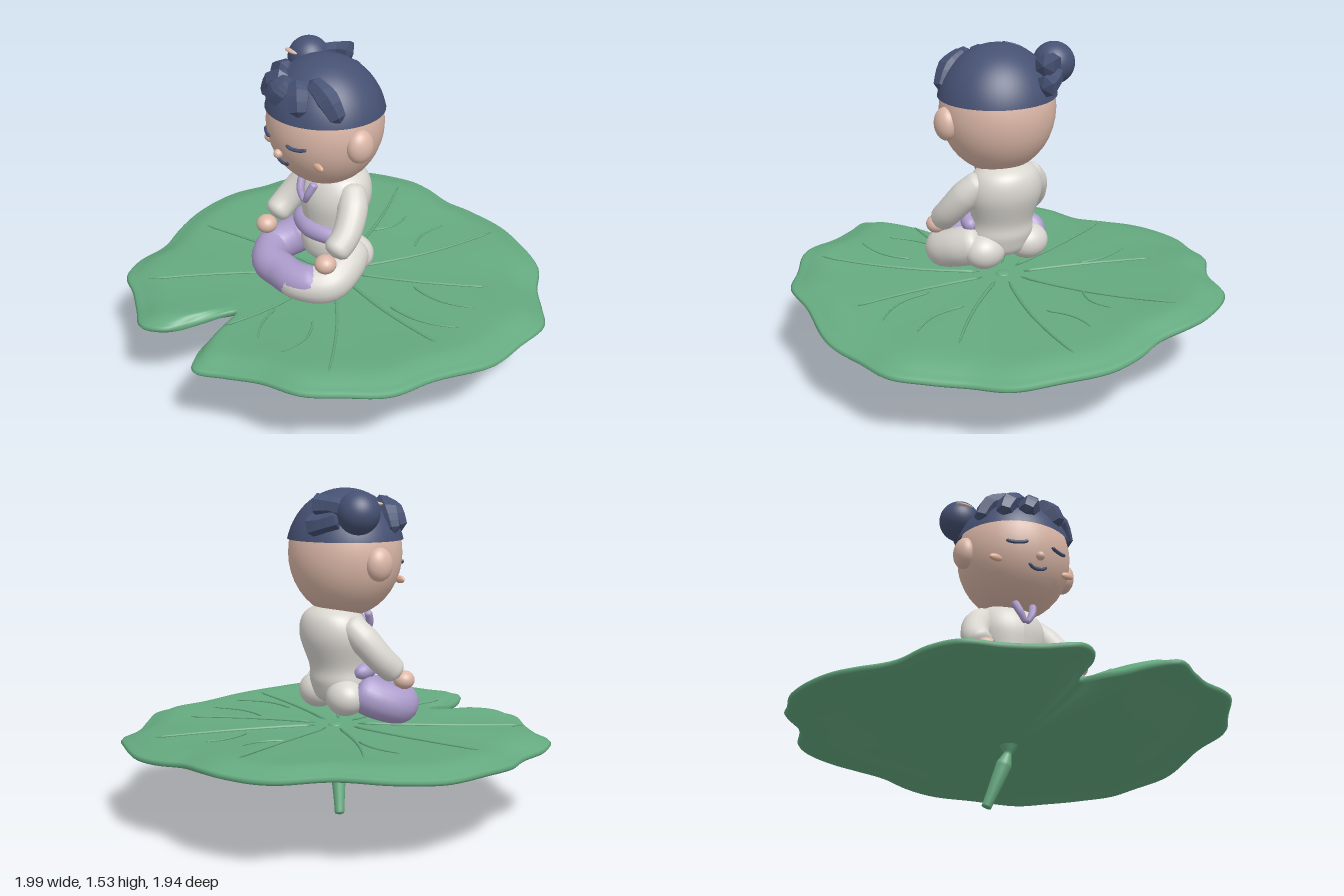
import * as THREE from 'three';
import { mergeVertices } from 'three/addons/utils/BufferGeometryUtils.js';

const mat = (name, color) => Object.assign(new THREE.MeshStandardMaterial({ color }), { name });
const V = (p) => new THREE.Vector3(...p);
const smooth = THREE.MathUtils.smoothstep;

export function createModel() {
  const model = new THREE.Group();
  model.name = 'childOnLeaf';
  const green = mat('leafGreen', 0x65aa80), skin = mat('skin', 0xdcb8a8), blush = mat('blush', 0xdfb096);
  const navy = mat('hairNavy', 0x465173), robe = mat('robeWhite', 0xdad7d1), purple = mat('purple', 0xad9dcd);
  const figure = new THREE.Group();
  figure.name = 'figure';
  figure.position.x = 0.012;

  const add = (parent, name, geometry, material) => {
    const m = new THREE.Mesh(geometry, material);
    m.name = name;
    parent.add(m);
    return m;
  };
  const ball = (name, [x, y, z], [a, b, c], material, parent = figure) => {
    const m = add(parent, name, new THREE.SphereGeometry(1, 32, 20), material);
    m.position.set(x, y, z);
    m.scale.set(a, b, c);
    return m;
  };
  // Limb: tube with a radius that varies along its path and closed ends
  const limb = (points, radii, { sides = 18, n = 30, cap = 0.12, flat = false } = {}) => {
    const curve = new THREE.CatmullRomCurve3(points.map(V));
    let g = new THREE.TubeGeometry(curve, n, 1, sides);
    const pos = g.attributes.position, v = new THREE.Vector3();
    for (let i = 0; i <= n; i++) {
      const u = i / n, f = u * (radii.length - 1), k = Math.min(Math.floor(f), radii.length - 2);
      const e = Math.min(1, Math.min(u, 1 - u) / cap);
      const r = THREE.MathUtils.lerp(radii[k], radii[k + 1], f - k) * Math.sqrt(1 - (1 - e) ** 2);
      const c = curve.getPointAt(u);
      for (let j = 0; j <= sides; j++) {
        const id = i * (sides + 1) + j;
        v.fromBufferAttribute(pos, id).sub(c).multiplyScalar(r).add(c);
        pos.setXYZ(id, v.x, v.y, v.z);
      }
    }
    g.deleteAttribute('uv');
    g.deleteAttribute('normal');
    g = flat ? g.toNonIndexed() : mergeVertices(g, 1e-5);
    g.computeVertexNormals();
    return g;
  };

  // Leaf: wavy notched outline, nearly flat on top and bowl-shaped below
  const leafTop = (x, z) => {
    const r = Math.hypot(x, z), a = Math.atan2(z, x);
    return 0.42 + r * r * (0.022 + 0.035 * Math.sin(2 * a)) + 0.007 * r ** 3 * Math.sin(9 * a);
  };
  const outline = [
    [0.04, 0.59], [-0.03, 0.75], [-0.085, 0.9], [-0.18, 0.96], [-0.33, 0.9], [-0.475, 0.84], [-0.62, 0.795],
    [-0.715, 0.68], [-0.77, 0.51], [-0.875, 0.35], [-0.945, 0.19], [-0.995, -0.07], [-0.955, -0.24],
    [-0.92, -0.375], [-0.795, -0.535], [-0.715, -0.75], [-0.5, -0.88], [-0.37, -0.905], [-0.21, -0.91],
    [-0.075, -0.955], [0.11, -0.98], [0.3, -0.945], [0.51, -0.87], [0.645, -0.73], [0.78, -0.625],
    [0.905, -0.51], [0.95, -0.32], [0.995, -0.11], [0.955, 0.19], [0.94, 0.4], [0.835, 0.56], [0.725, 0.72],
    [0.54, 0.8], [0.405, 0.89], [0.29, 0.965], [0.2, 0.9], [0.11, 0.75]];
  const edge = new THREE.CatmullRomCurve3(outline.map(([x, z]) => V([x, 0, z])), true);
  const N = outline.length * 6;
  const rings = [0.01, 0.1, 0.2, 0.3, 0.4, 0.5, 0.6, 0.7, 0.78, 0.85, 0.9, 0.94, 0.97, 0.99];
  const rows = [...rings.map((s) => [s, 0]), [1, 0.5], ...rings.map((s) => [s, 1]).reverse()];
  const verts = [], faces = [];
  rows.forEach(([s, under], i) => {
    for (let j = 0; j < N; j++) {
      const p = edge.getPoint(j / N).multiplyScalar(s), r = p.length();
      const lip = 0.042 * smooth(s, 0.86, 1) * smooth(r, 0.55, 0.85);
      const thick = 0.022 + 0.095 * (1 - s * s);
      verts.push(p.x, leafTop(p.x, p.z) - lip - under * thick, p.z);
      if (i === 0) continue;
      const k = (j + 1) % N, a = (i - 1) * N + j, b = i * N + j, c = i * N + k, d = (i - 1) * N + k;
      faces.push(a, c, b, a, d, c);
    }
  });
  const leaf = new THREE.BufferGeometry();
  leaf.setAttribute('position', new THREE.Float32BufferAttribute(verts, 3));
  leaf.setIndex(faces);
  leaf.computeVertexNormals();
  add(model, 'leaf', leaf, green);
  ball('leafHub', [0.015, 0.42, 0.01], [0.035, 0.01, 0.035], green, model);

  // Veins: start x, z, end x, z, sideways bend, radius
  const vein = (x0, z0, x1, z1, bend, r) => {
    const pts = [0, 0.25, 0.5, 0.75, 1].map((t) => {
      const w = bend * Math.sin(Math.PI * t);
      const x = x0 + (x1 - x0) * t - (z1 - z0) * w, z = z0 + (z1 - z0) * t + (x1 - x0) * w;
      return [x, leafTop(x, z) + 0.003, z];
    });
    add(model, 'leafVein', limb(pts, [r, r * 0.6], { sides: 6, n: 16, cap: 0.03 }), green);
  };
  [[-0.43, -0.75, 0.03], [0.2, -0.845, 0.04], [0.555, -0.49, 0.03], [0.785, 0.03, 0.03], [0.71, 0.56, -0.03],
    [0.12, 0.705, -0.05], [-0.465, 0.765, 0.03], [-0.74, 0.27, 0.02], [-0.66, -0.28, -0.04]]
    .forEach(([x, z, b]) => {
      const k = 0.1 / Math.hypot(x, z);
      vein(0.02 + x * k, 0.015 + z * k, x, z, b, 0.009);
    });
  [[-0.18, -0.37, -0.18, -0.6, 0.15], [0.07, -0.44, 0, -0.69, -0.12], [-0.35, -0.1, -0.64, -0.08, 0.1],
    [0.35, -0.2, 0.66, -0.31, 0.12], [0.42, 0, 0.74, -0.14, 0.12], [0.13, 0.43, 0.3, 0.64, 0.08],
    [0.32, 0.36, 0.46, 0.63, -0.14]].forEach(([a, b, c, d, e]) => vein(a, b, c, d, e, 0.006));

  add(model, 'stem', limb([[0.01, 0.32, 0.015], [0.005, 0.27, 0.015], [-0.015, 0.2, 0.005], [-0.05, 0.1, -0.012],
    [-0.082, 0.008, -0.03]], [0.052, 0.018, 0.036, 0.033, 0.029, 0.025, 0.022], { cap: 0.02, n: 50 }), green);

  // Torso, narrow at the waist and leaning slightly back, with two seat lobes
  const profile = new THREE.SplineCurve([[0, 0.52], [0.12, 0.55], [0.155, 0.63], [0.15, 0.71], [0.182, 0.84],
    [0.165, 0.93], [0.11, 0.98], [0, 1.01]].map((p) => new THREE.Vector2(...p))).getPoints(36);
  profile.forEach((p) => { p.x = Math.max(0, p.x); });
  const torsoShape = new THREE.LatheGeometry(profile, 40);
  const tp = torsoShape.attributes.position;
  for (let i = 0; i < tp.count; i++) tp.setZ(i, tp.getZ(i) * 0.86 + 0.035 - 0.13 * Math.max(0, tp.getY(i) - 0.6));
  torsoShape.computeVertexNormals();
  add(figure, 'torso', torsoShape, robe);

  // Crossed legs, the purple one wrapping across the front
  const leg = [[0.11, 0.615, -0.01], [0.19, 0.57, 0.1], [0.213, 0.53, 0.21], [0.115, 0.525, 0.3], [0, 0.525, 0.305]];
  const flip = (pts) => pts.map(([x, y, z]) => [-x, y, z]);
  add(figure, 'leftLeg', limb(leg, [0.095, 0.094, 0.088, 0.084, 0.075]), robe);
  add(figure, 'rightLeg', limb([[-0.13, 0.615, 0.03], ...flip(leg).slice(1), [0.09, 0.528, 0.304],
    [0.165, 0.537, 0.274], [0.208, 0.555, 0.225]],
  [0.09, 0.092, 0.088, 0.085, 0.085, 0.085, 0.083, 0.075], { n: 44, cap: 0.08 }), purple);

  // Sash and collar
  const sash = [[-0.17, 0.69, 0.01], [-0.135, 0.7, 0.1], [0, 0.705, 0.145], [0.135, 0.7, 0.1], [0.17, 0.69, 0.01]];
  add(figure, 'sash', limb(sash, [0.035, 0.047, 0.035]), purple);

  // Mirrored parts
  const faceZ = (x, y) => 0.06 + 0.264 * Math.sqrt(Math.max(0, 1 - (x / 0.272) ** 2 - ((y - 1.235) / 0.297) ** 2));
  const onFace = (pts, off = 0) => pts.map(([x, y]) => [x, y, faceZ(x, y) + off]);
  for (const s of [-1, 1]) {
    const side = s > 0 ? 'left' : 'right';
    ball(side + 'Seat', [s * 0.12, 0.575, -0.015], [0.1, 0.085, 0.088], robe);
    const arm = [[0.11, 0.93, -0.005], [0.18, 0.855, 0.04], [0.228, 0.755, 0.115], [0.236, 0.68, 0.2]];
    add(figure, side + 'Arm', limb(s > 0 ? arm : flip(arm), [0.06, 0.07, 0.065, 0.06]), robe);
    ball(side + 'Hand', [s * 0.235, 0.652, 0.235], [0.05, 0.044, 0.05], skin);
    add(figure, side + 'Collar', limb([[s * 0.05, 0.96, 0.155], [s * 0.03, 0.9, 0.18], [s * 0.003, 0.85, 0.18]],
      [0.02, 0.018, 0.012], { sides: 8 }), purple);
    ball(side + 'Ear', [s * 0.268, 1.2, 0.07], [0.05, 0.077, 0.065], skin);
    const x = s * 0.11;
    add(figure, side + 'Eye', limb(onFace([[x - 0.048, 1.199], [x - 0.02, 1.19], [x + 0.02, 1.19], [x + 0.048, 1.199]],
      0.003), [0.008, 0.009, 0.008], { sides: 8 }), navy);
    ball(side + 'Cheek', [s * 0.19, 1.117, 0.238], [0.034, 0.018, 0.013], blush);
  }

  // Head and face
  ball('head', [0, 1.235, 0.06], [0.272, 0.297, 0.264], skin);
  ball('nose', [0, 1.135, 0.318], [0.021, 0.021, 0.021], skin);
  add(figure, 'mouth', limb(onFace([[-0.048, 1.1], [-0.022, 1.084], [0.022, 1.084], [0.048, 1.1]], 0.003),
    [0.007, 0.009, 0.007], { sides: 8 }), navy);

  // Hair cap with blunt faceted fringe locks
  const cap = add(figure, 'hairCap', new THREE.SphereGeometry(1, 48, 20, 0, Math.PI * 2, 0, 1.35), navy);
  cap.position.set(0, 1.235, 0.06);
  cap.scale.set(0.286, 0.3, 0.273);
  [[-0.08, 1.48, -0.18, 1.43, -0.24, 1.325], [-0.04, 1.47, -0.12, 1.42, -0.165, 1.335],
    [0.0, 1.47, -0.03, 1.42, -0.07, 1.35], [0.03, 1.47, 0.08, 1.42, 0.12, 1.34],
    [0.08, 1.48, 0.18, 1.42, 0.245, 1.32]].forEach(([a, b, c, d, e, f]) =>
    add(figure, 'fringeLock', limb(onFace([[a, b], [c, d], [e, f]], 0.012), [0.035, 0.055, 0.036],
      { sides: 6, n: 8, cap: 0.06, flat: true }), navy));

  // Side bun with a pin and two tied tails
  ball('bun', [-0.247, 1.432, -0.03], [0.098, 0.098, 0.098], navy);
  ball('bunPin', [-0.265, 1.472, 0.055], [0.044, 0.009, 0.016], skin);
  [[[-0.21, 1.45, -0.08], [-0.16, 1.465, -0.13], [-0.095, 1.465, -0.17]],
    [[-0.21, 1.41, -0.1], [-0.15, 1.385, -0.155], [-0.08, 1.37, -0.185]]].forEach((p) =>
    add(figure, 'bunTail', limb(p, [0.045, 0.042, 0.058], { sides: 6, n: 8, cap: 0.04, flat: true }), navy));

  model.add(figure);
  return model;
}
